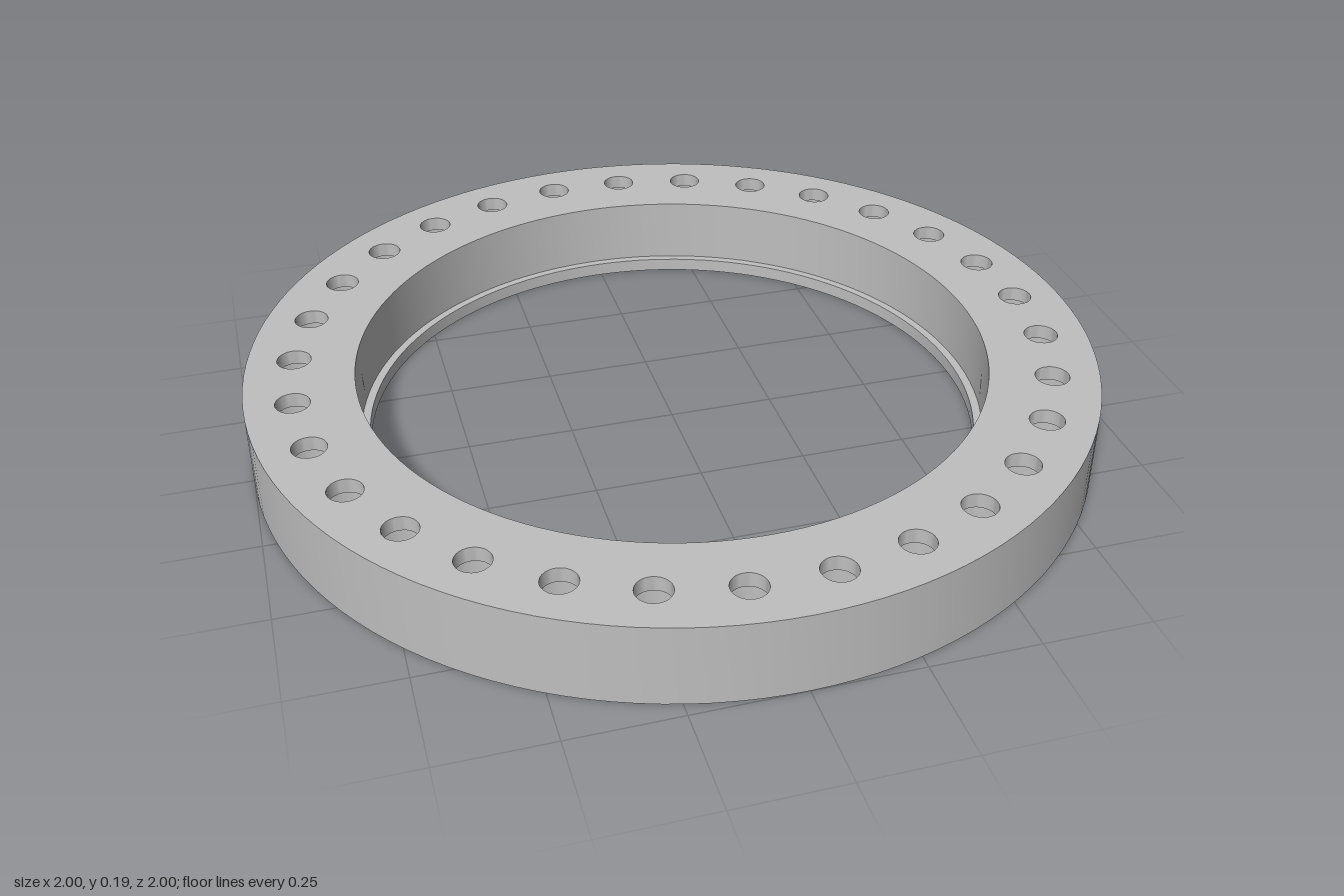
import * as THREE from 'three';
import { toCreasedNormals } from 'three/addons/utils/BufferGeometryUtils.js';

const HEIGHT = 0.195, OUTER = 1, BORE = 0.745, LIP = 0.725, LIP_TOP = 0.033;
const HOLES = 30, HOLE_CIRCLE = 0.89, HOLE_R = 0.04, COUNTERBORE_R = 0.071, SHELF_Y = 0.16;
const RING_SEGMENTS = 128, HOLE_SEGMENTS = 32;

// Points evenly spaced round a circle
function circle(radius, segments, cx = 0, cy = 0) {
  return Array.from({ length: segments }, (_, i) => {
    const a = (i / segments) * Math.PI * 2;
    return new THREE.Vector2(cx + radius * Math.cos(a), cy + radius * Math.sin(a));
  });
}

// Turned wall with crisp corners; a profile running downward faces the axis
function turned(profile, segments) {
  const points = profile.map(([r, y]) => new THREE.Vector2(r, y));
  return toCreasedNormals(new THREE.LatheGeometry(points, segments), 0.6);
}

// Flat annulus pierced by the ring of bolt holes
function piercedFace(innerRadius, holeRadius) {
  const shape = new THREE.Shape(circle(OUTER, RING_SEGMENTS));
  shape.holes.push(new THREE.Path(circle(innerRadius, RING_SEGMENTS)));
  for (let i = 0; i < HOLES; i++) {
    const a = (i / HOLES) * Math.PI * 2;
    shape.holes.push(new THREE.Path(
      circle(holeRadius, HOLE_SEGMENTS, HOLE_CIRCLE * Math.cos(a), HOLE_CIRCLE * Math.sin(a))));
  }
  return new THREE.ShapeGeometry(shape);
}

export function createModel() {
  const model = new THREE.Group();
  model.name = 'boltRing';
  const metal = new THREE.MeshStandardMaterial({ color: 0xbfbfbf });
  metal.name = 'grey metal';

  function add(name, geometry, parent = model) {
    const mesh = new THREE.Mesh(geometry, metal);
    mesh.name = name;
    parent.add(mesh);
    return mesh;
  }

  // Top and bottom faces
  add('topFace', piercedFace(BORE, HOLE_R).rotateX(-Math.PI / 2).translate(0, HEIGHT, 0));
  add('bottomFace', piercedFace(LIP, COUNTERBORE_R).rotateX(Math.PI / 2));

  // Outer rim, and the bore with its small lip at the bottom
  add('outerRim', turned([[OUTER, 0], [OUTER, HEIGHT]], RING_SEGMENTS));
  add('boreAndLip', turned([[BORE, HEIGHT], [BORE, LIP_TOP], [LIP, LIP_TOP], [LIP, 0]], RING_SEGMENTS));

  // Bolt holes, counterbored from below
  const holes = new THREE.Group();
  holes.name = 'boltHoles';
  model.add(holes);
  const holeWall = turned(
    [[HOLE_R, HEIGHT], [HOLE_R, SHELF_Y], [COUNTERBORE_R, SHELF_Y], [COUNTERBORE_R, 0]], HOLE_SEGMENTS);
  for (let i = 0; i < HOLES; i++) {
    const a = (i / HOLES) * Math.PI * 2;
    add('boltHole', holeWall, holes).position.set(HOLE_CIRCLE * Math.cos(a), 0, HOLE_CIRCLE * Math.sin(a));
  }
  return model;
}
